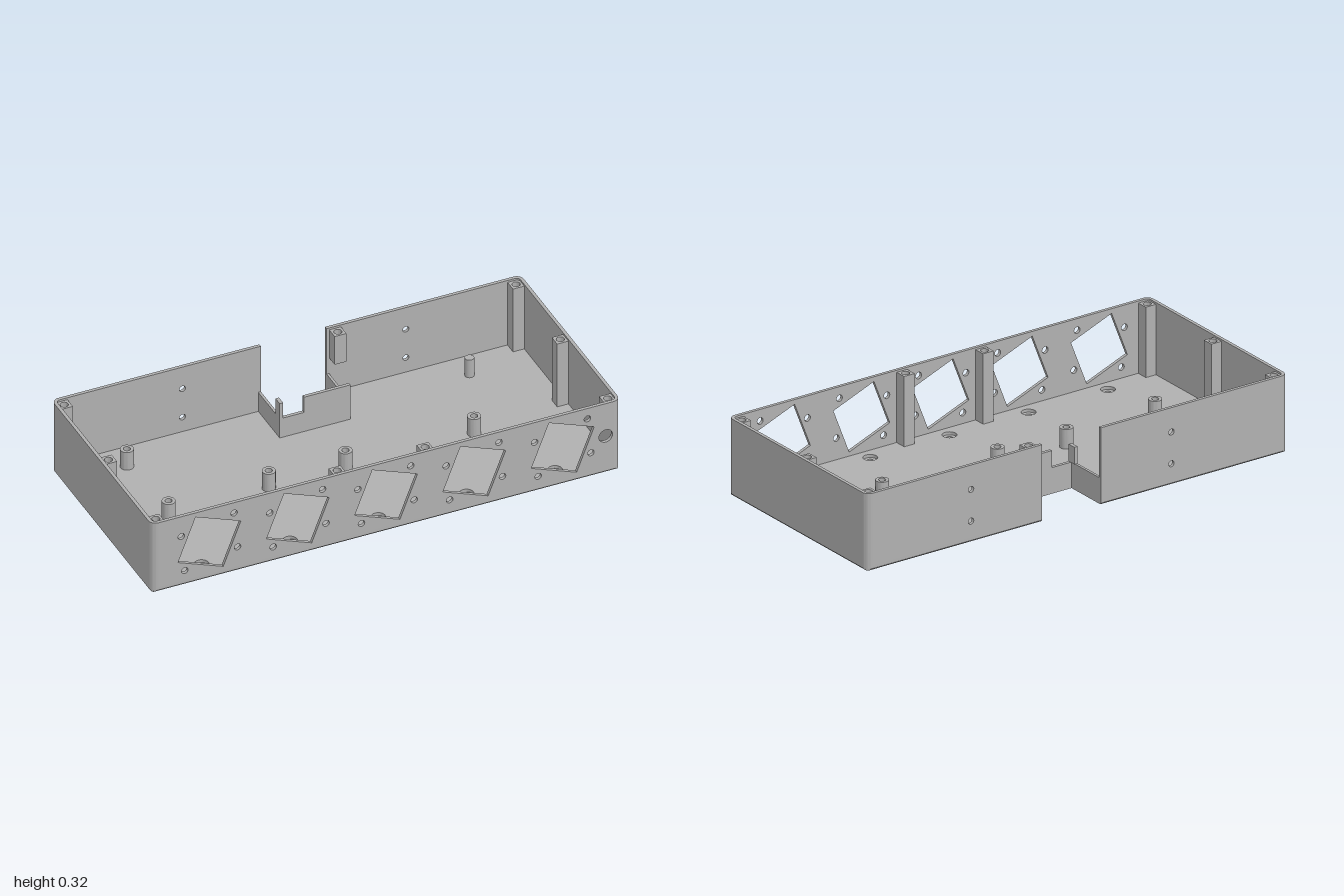
import * as THREE from 'three';
import { toCreasedNormals } from 'three/addons/utils/BufferGeometryUtils.js';

const W = 1, D = 0.462, H = 0.325, T = 0.014, R = 0.03;   // half width, half depth, height, wall, corner radius
const NL = -0.113, NR = 0.167, NZ = -0.265;               // notch left, right and inner edge
const FLOOR = 0.02, LOW = 0.007;                          // floor top and foot-recess layer

const polygon = pts => new THREE.Shape(pts.map(p => new THREE.Vector2(p[0], p[1])));
const rect = (x0, y0, x1, y1) => polygon([[x0, y0], [x1, y0], [x1, y1], [x0, y1]]);
const circle = (x, y, r) => new THREE.Path().absarc(x, y, r, 0, Math.PI * 2, true);

export function createModel() {
  const model = new THREE.Group();
  model.name = 'enclosure';
  const grey = new THREE.MeshStandardMaterial({ color: 0xb0b0b0 });
  grey.name = 'grey plastic';

  const add = (name, geometry, parent = model) => {
    const mesh = new THREE.Mesh(geometry, grey);
    mesh.name = name;
    parent.add(mesh);
    return mesh;
  };
  const extrude = (shape, depth) =>
    new THREE.ExtrudeGeometry(shape, { depth, bevelEnabled: false, curveSegments: 16 });
  // Plan shape (x, -z) raised from y0 to y1
  const raise = (shape, y0, y1) => extrude(shape, y1 - y0).rotateX(-Math.PI / 2).translate(0, y0, 0);
  const box = (name, x0, y0, z0, x1, y1, z1) =>
    add(name, new THREE.BoxGeometry(x1 - x0, y1 - y0, z1 - z0)
      .translate((x0 + x1) / 2, (y0 + y1) / 2, (z0 + z1) / 2));

  // Floor outline: rounded rectangle with the notch cut from the back edge
  const floorShape = () => {
    const s = new THREE.Shape();
    s.moveTo(-W + R, -D);
    s.lineTo(W - R, -D);
    s.absarc(W - R, -D + R, R, -Math.PI / 2, 0, false);
    s.lineTo(W, D - R);
    s.absarc(W - R, D - R, R, 0, Math.PI / 2, false);
    s.lineTo(NR, D);
    s.lineTo(NR, -NZ);
    s.lineTo(NL, -NZ);
    s.lineTo(NL, D);
    s.lineTo(-W + R, D);
    s.absarc(-W + R, D - R, R, Math.PI / 2, Math.PI, false);
    s.lineTo(-W, -D + R);
    s.absarc(-W + R, -D + R, R, Math.PI, Math.PI * 1.5, false);
    return s;
  };
  const unitX = [-0.753, -0.376, 0, 0.376, 0.753];

  // Lower floor layer: screw holes, round foot recesses, chamfered bottom edge
  const lower = floorShape();
  for (const x of unitX) lower.holes.push(circle(x, -0.39, 0.013));
  for (const x of [-0.93, 0.93]) for (const z of [-0.345, 0.25]) lower.holes.push(circle(x, -z, 0.036));
  const lowerGeo = raise(lower, 0, LOW);
  const p = lowerGeo.attributes.position;
  for (let i = 0; i < p.count; i++) {
    if (p.getY(i) > 0.001) continue;
    p.setX(i, THREE.MathUtils.clamp(p.getX(i), -W + 0.006, W - 0.006));
    p.setZ(i, THREE.MathUtils.clamp(p.getZ(i), -D + 0.006, D - 0.006));
  }
  add('floorUnderside', toCreasedNormals(lowerGeo, 0.4));

  // Upper floor layer with the wider counterbores
  const upper = floorShape();
  for (const x of unitX) upper.holes.push(circle(x, -0.39, 0.029));
  add('floor', toCreasedNormals(raise(upper, LOW, FLOOR), 0.5));

  // Front wall: five tilted square windows, their screw holes and a cable hole
  const front = rect(-W + R, LOW, W - R, H);
  const tilt = -0.371, half = 0.1035, cy = 0.171;
  for (const x of unitX) {
    const hole = [];
    for (let k = 0; k < 4; k++) {
      const a = tilt + Math.PI / 4 - k * Math.PI / 2, r = half * Math.SQRT2;
      hole.push(new THREE.Vector2(x + r * Math.cos(a), cy + r * Math.sin(a)));
    }
    front.holes.push(new THREE.Path(hole));
    for (const [dx, dy] of [[-0.12, 0.06], [0.105, 0.105], [0.12, -0.06], [-0.105, -0.105]])
      front.holes.push(circle(x + dx, cy + dy, 0.014));
  }
  front.holes.push(circle(0.936, 0.172, 0.029));
  add('frontWall', toCreasedNormals(extrude(front, T).translate(0, 0, D - T), 0.5));

  // Back wall in two parts, each with a pair of screw holes
  for (const [name, x0, x1, hx] of [['backWallRight', -W + R, NL, -0.447], ['backWallLeft', NR, W - R, 0.505]]) {
    const wall = rect(x0, LOW, x1, H);
    for (const y of [0.222, 0.088]) wall.holes.push(circle(hx, y, 0.013));
    add(name, toCreasedNormals(extrude(wall, T).translate(0, 0, -D), 0.5));
  }

  // Side walls and rounded corners
  for (const s of [-1, 1])
    box(s > 0 ? 'leftWall' : 'rightWall', s * (W - T / 2) - T / 2, LOW, -D + R, s * (W - T / 2) + T / 2, H, D - R);
  [[1, 1], [-1, 1], [-1, -1], [1, -1]].forEach(([sx, sy], i) => {
    const cx = sx * (W - R), cz = sy * (D - R), a = i * Math.PI / 2;
    const ring = new THREE.Shape();
    ring.absarc(cx, cz, R, a, a + Math.PI / 2, false);
    ring.absarc(cx, cz, R - T, a + Math.PI / 2, a, true);
    add('wallCorner', toCreasedNormals(raise(ring, LOW, H), 0.5));
  });

  // Low walls around the notch, stepped at the back, with a corner post
  const t = 0.011, low = 0.11, high = 0.182;
  box('notchSideRight', NL - t, FLOOR, -D + T, NL, low, NZ + T);
  box('notchSideLeft', NR, FLOOR, -D + T, NR + t, low, NZ + T);
  const step = polygon([[NL, FLOOR], [NR + t, FLOOR], [NR + t, high], [-0.02, high], [-0.02, low], [NL, low]]);
  add('notchInnerWall', extrude(step, T).translate(0, 0, NZ));
  box('notchPost', NL - t, low, NZ - 0.025, NL + 0.004, high, NZ + T);

  // Square lid bosses with screw holes; two of them hang short from the rim
  const bx = 0.963, bz = 0.422, b = 0.025;
  const bosses = [
    [-bx, -bz], [bx, -bz], [-bx, bz], [bx, bz, 0.205], [-bx, -0.015], [bx, -0.015],
    [-0.19, bz], [0.185, bz], [0.203, -bz, 0.19],
  ];
  for (const [x, z, y0 = FLOOR] of bosses) {
    const s = rect(x - b, -z - b, x + b, -z + b);
    s.holes.push(circle(x, -z, 0.016));
    add('lidBoss', toCreasedNormals(raise(s, y0, H - 0.008), 0.5));
    if (y0 > FLOOR) box('lidBossBase', x - b, y0 - 0.006, z - b, x + b, y0, z + b);
  }

  // Round board standoffs, plus one plain locating pin
  for (const [x, z] of [[-0.74, -0.327], [-0.74, 0.057], [-0.303, 0.036], [0.024, 0.036], [0.572, 0.036]]) {
    const s = new THREE.Shape().absarc(x, -z, 0.027, 0, Math.PI * 2, false);
    s.holes.push(circle(x, -z, 0.014));
    add('standoff', toCreasedNormals(raise(s, FLOOR, 0.103), 0.5));
  }
  add('locatingPin', new THREE.CylinderGeometry(0.019, 0.019, 0.083, 32).translate(0.72, FLOOR + 0.0415, -0.327));

  return model;
}
